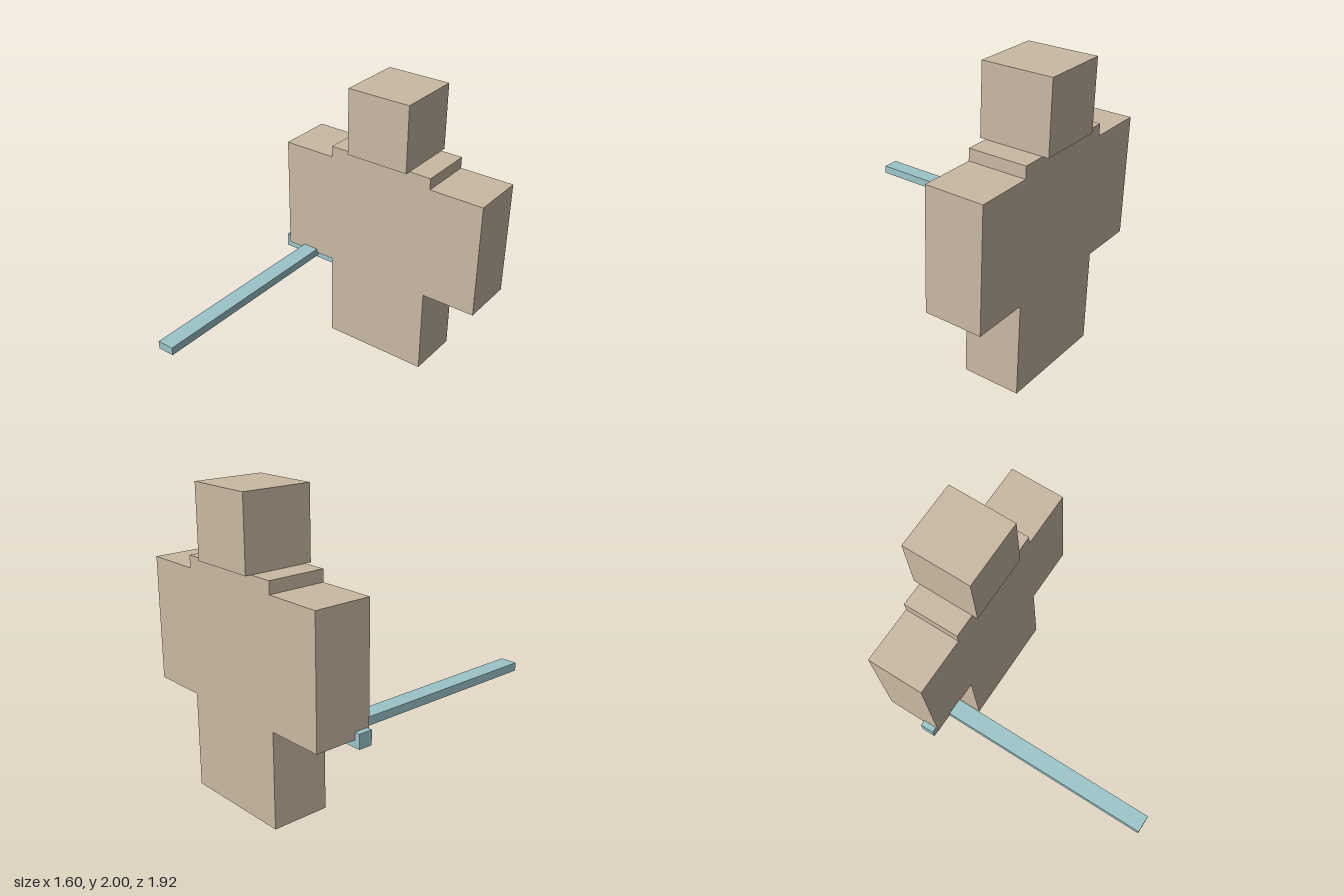
import * as THREE from 'three';

export function createModel() {
  const model = new THREE.Group();
  model.name = 'blockFigure';

  const tan = new THREE.MeshStandardMaterial({ color: 0xc9b9a3 });
  tan.name = 'tan';
  const teal = new THREE.MeshStandardMaterial({ color: 0x9bc4c8 });
  teal.name = 'paleTeal';

  // Adds a box spanning two opposite corners
  function block(parent, name, material, min, max) {
    const size = max.map((v, i) => v - min[i]);
    const mesh = new THREE.Mesh(new THREE.BoxGeometry(...size), material);
    mesh.position.set(...min.map((v, i) => (v + max[i]) / 2));
    mesh.name = name;
    parent.add(mesh);
  }

  // Body: head, one solid trunk with the legs, and two arms
  const back = -0.92, front = -0.53;
  block(model, 'head', tan, [-0.215, 1.53, -0.96], [0.25, 2, -0.49]);
  block(model, 'torsoAndLegs', tan, [-0.375, 0, back], [0.41, 1.53, front]);
  block(model, 'rightArm', tan, [-0.765, 0.63, back], [-0.375, 1.45, front]);
  block(model, 'leftArm', tan, [0.41, 0.63, back], [0.8, 1.45, front]);

  // Sword held in the right hand, pointing forward
  const sword = new THREE.Group();
  sword.name = 'sword';
  block(sword, 'swordGuard', teal, [-0.803, 0.582, -0.64], [-0.34, 0.678, -0.545]);
  block(sword, 'swordBlade', teal, [-0.63, 0.602, -0.56], [-0.512, 0.658, 0.96]);
  model.add(sword);

  return model;
}
